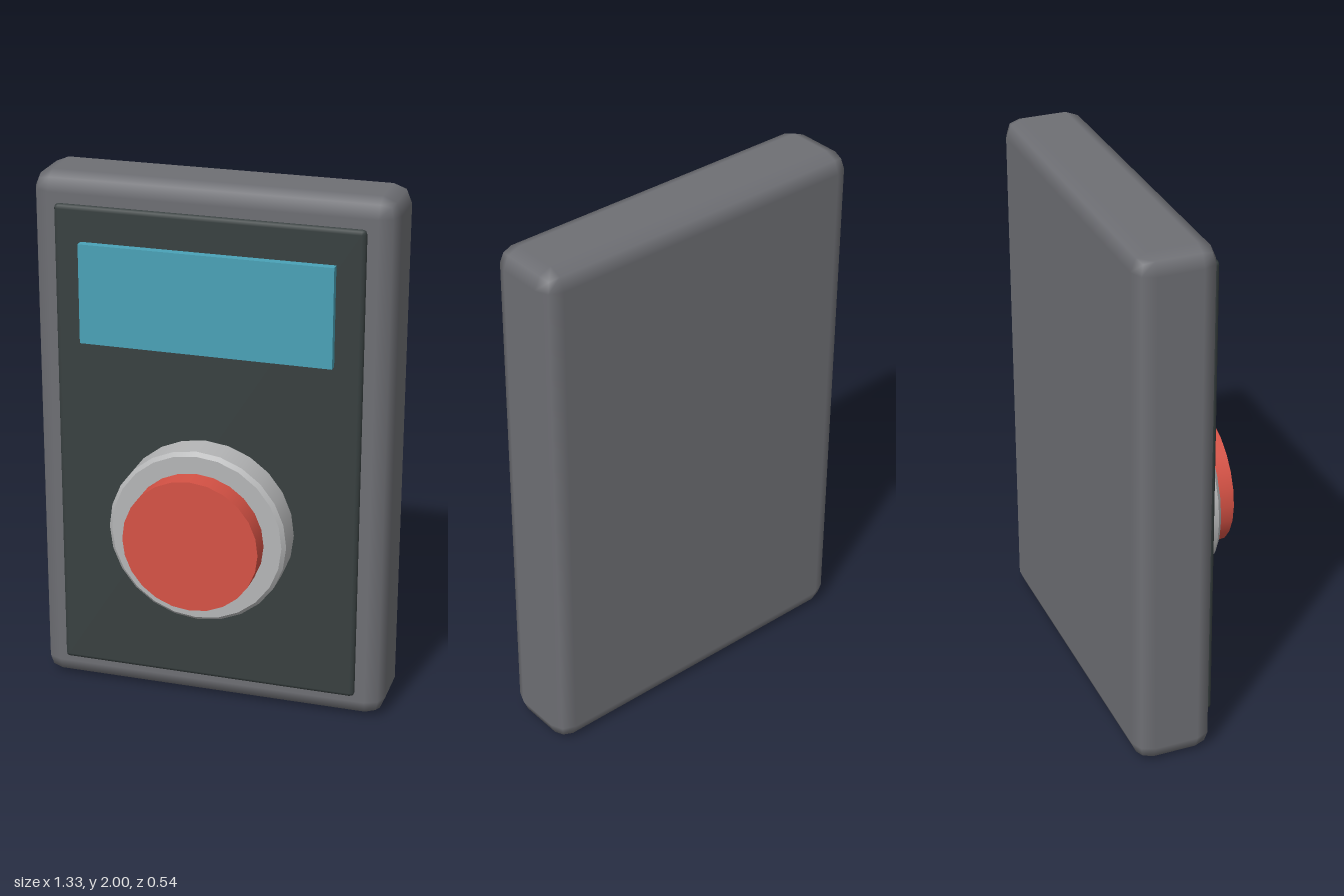
import * as THREE from 'three';

const material = (name, color) => {
  const m = new THREE.MeshStandardMaterial({ color });
  m.name = name;
  return m;
};

// Box whose edges and corners are rounded in two smooth steps
function bevelBox(w, h, d, r) {
  const geo = new THREE.BoxGeometry(1, 1, 1, 3, 3, 3);
  const pos = geo.attributes.position;
  const half = new THREE.Vector3(w / 2 - r, h / 2 - r, d / 2 - r);
  const p = new THREE.Vector3();
  const dir = new THREE.Vector3();
  for (let i = 0; i < pos.count; i++) {
    p.fromBufferAttribute(pos, i);
    // outer grid lines lean at 45 degrees, inner ones stay on the flat face
    for (const a of ['x', 'y', 'z']) {
      dir[a] = Math.abs(p[a]) > 0.4 ? Math.sign(p[a]) : 0;
      p[a] = Math.sign(p[a]) * half[a];
    }
    dir.normalize();
    p.addScaledVector(dir, r);
    pos.setXYZ(i, p.x, p.y, p.z);
    geo.attributes.normal.setXYZ(i, dir.x, dir.y, dir.z);
  }
  return geo;
}

// Round section along z, from z0 (radius r0) to z1 (radius r1)
function disc(r0, r1, z0, z1, open = false) {
  return new THREE.CylinderGeometry(r1, r0, z1 - z0, 24, 1, open)
    .rotateX(Math.PI / 2)
    .translate(0, 0, (z0 + z1) / 2);
}

export function createModel() {
  const group = new THREE.Group();
  group.name = 'buttonPanel';

  const grey = material('casing grey', 0x6e6f74);
  const dark = material('dark panel', 0x384040);
  const blue = material('screen blue', 0x4aa2b7);
  const silver = material('collar silver', 0xb5b6b7);
  const red = material('button red', 0xd65245);

  const add = (parent, name, geo, mat, y = 0, z = 0) => {
    const mesh = new THREE.Mesh(geo, mat);
    mesh.name = name;
    mesh.position.set(0, y, z);
    parent.add(mesh);
  };

  // Casing, front panel and screen
  add(group, 'casing', bevelBox(1.333, 2, 0.297, 0.067), grey, 1, -0.1235);
  add(group, 'frontPanel', bevelBox(1.133, 1.8, 0.034, 0.0165), dark, 1, 0.042);
  add(group, 'screen', new THREE.BoxGeometry(0.93, 0.37, 0.04), blue, 1.585, 0.07);

  // Collar with bevelled rims
  const collar = new THREE.Group();
  collar.name = 'buttonCollar';
  collar.position.y = 0.737;
  const R = 0.333, b = 0.014;
  add(collar, 'collarBack', disc(R - b, R, 0.057, 0.057 + b), silver);
  add(collar, 'collarWall', disc(R, R, 0.057 + b, 0.192 - b, true), silver);
  add(collar, 'collarFront', disc(R, R - b, 0.192 - b, 0.192), silver);
  group.add(collar);

  // Push button
  add(group, 'button', disc(0.253, 0.253, 0.18, 0.272), red, 0.737);

  return group;
}
